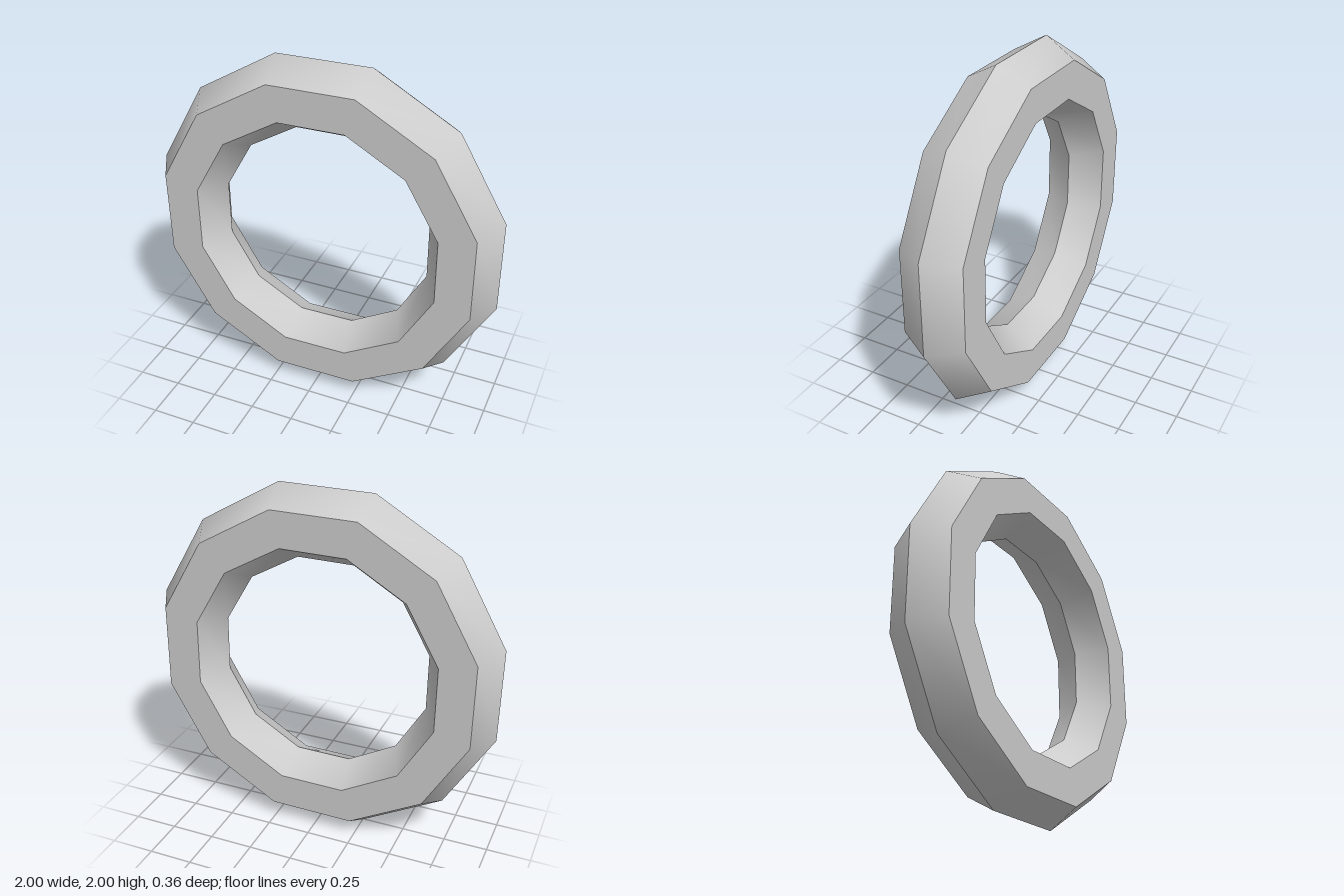
import * as THREE from 'three';
import { toCreasedNormals } from 'three/addons/utils/BufferGeometryUtils.js';

export function createModel() {
  const group = new THREE.Group();
  group.name = 'ringModel';

  // Twelve-sided ring with a hexagonal section, smooth around, sharp at the section edges
  const sides = 12;
  const tilt = THREE.MathUtils.degToRad(15.6); // a flat side rests almost level
  const outer = 1 / Math.cos(THREE.MathUtils.degToRad(14.4)); // corner radius
  const geometry = new THREE.TorusGeometry(outer * 0.8, outer * 0.2, 6, sides);
  geometry.rotateZ(tilt);

  const ring = new THREE.Mesh(
    toCreasedNormals(geometry, Math.PI / 4),
    new THREE.MeshStandardMaterial({ color: 0xcccccc })
  );
  ring.name = 'ring';
  ring.position.y = 1;
  group.add(ring);

  return group;
}
